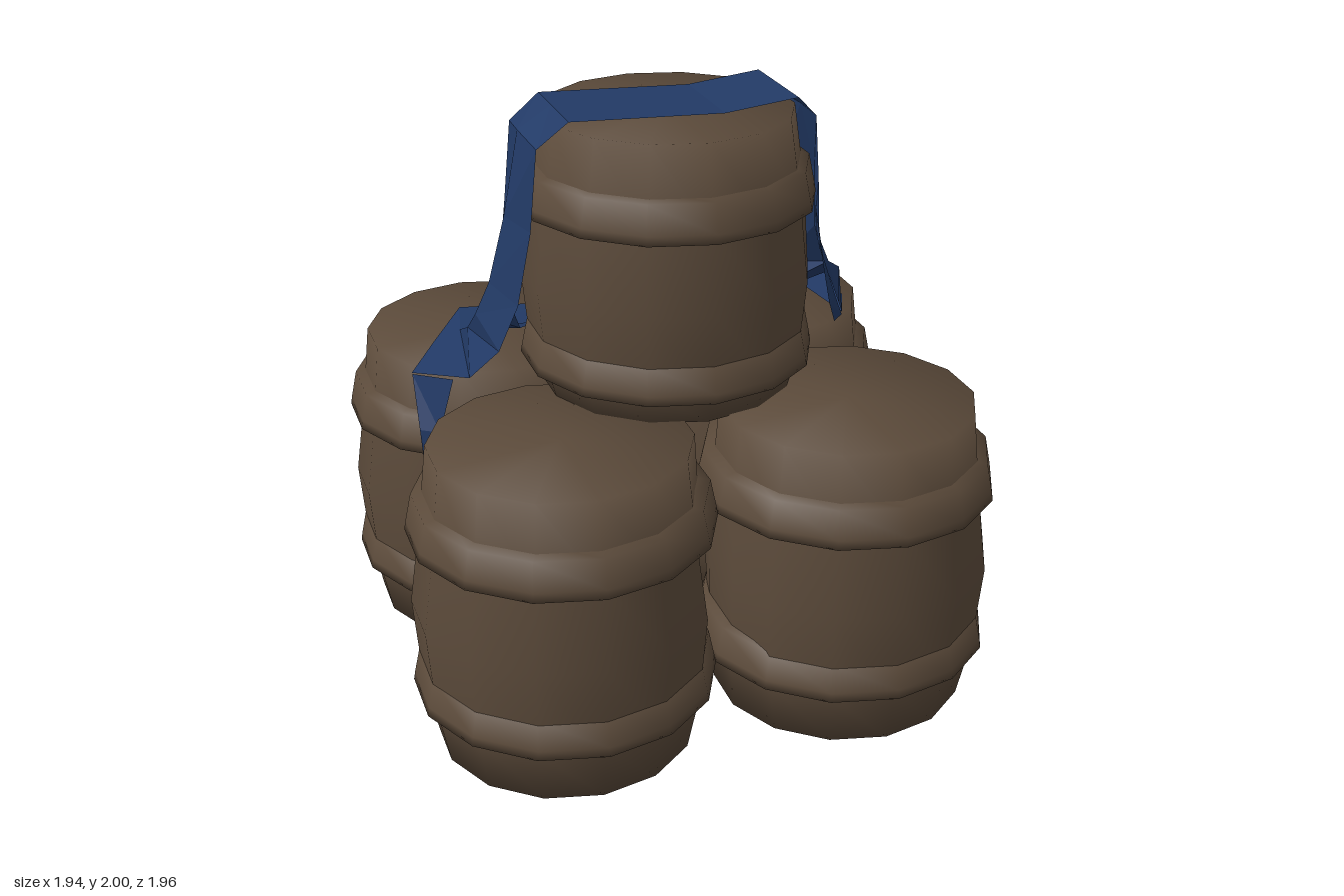
import * as THREE from 'three';

const SIDES = 14;
const wood = new THREE.MeshStandardMaterial({ color: 0x5b4a3a });
wood.name = 'dark brown wood';
const cloth = new THREE.MeshStandardMaterial({ color: 0x223a66, side: THREE.DoubleSide });
cloth.name = 'navy cloth';

const lathe = (profile) =>
  new THREE.LatheGeometry(profile.map(([r, y]) => new THREE.Vector2(r, y)), SIDES);

// Bulging staves; vertices are held inside the limits so facing sides are flat
function bodyGeometry(profile, limits, cx, cz) {
  const geo = lathe(profile);
  const p = geo.attributes.position;
  for (let i = 0; i < p.count; i++) {
    p.setX(i, THREE.MathUtils.clamp(p.getX(i) + cx, limits[0], limits[1]) - cx);
    p.setZ(i, THREE.MathUtils.clamp(p.getZ(i) + cz, limits[2], limits[3]) - cz);
  }
  return geo;
}

// Hoop flared towards its lower edge
const hoopGeometry = (y, r) =>
  lathe([[0.40, y], [r, y], [r - 0.005, y + 0.03], [r - 0.025, y + 0.125], [0.40, y + 0.14]]);

function barrel(name, x, y, z, profile, hoops, hoopRadius, limits) {
  const g = new THREE.Group();
  g.name = name;
  const body = new THREE.Mesh(bodyGeometry(profile, limits, x, z), wood);
  body.name = 'barrelBody';
  g.add(body);
  for (const h of hoops) {
    const hoop = new THREE.Mesh(hoopGeometry(h, hoopRadius), wood);
    hoop.name = 'barrelHoop';
    g.add(hoop);
  }
  g.position.set(x, y, z);
  return g;
}

// Flat-shaded sheet through rows of points
function sheet(name, rows) {
  const pos = [];
  for (let i = 0; i < rows.length - 1; i++) {
    for (let j = 0; j < rows[i].length - 1; j++) {
      const a = rows[i][j], b = rows[i + 1][j], c = rows[i + 1][j + 1], d = rows[i][j + 1];
      pos.push(...a, ...b, ...c, ...a, ...c, ...d);
    }
  }
  const geo = new THREE.BufferGeometry();
  geo.setAttribute('position', new THREE.Float32BufferAttribute(pos, 3));
  geo.computeVertexNormals();
  const mesh = new THREE.Mesh(geo, cloth);
  mesh.name = name;
  return mesh;
}

export function createModel() {
  const model = new THREE.Group();
  model.name = 'barrelStack';

  // Four standing barrels
  const lower = [[0, 0.005], [0.425, 0.005], [0.465, 0.2], [0.49, 0.5], [0.45, 0.78], [0.42, 1.05], [0, 1.05]];
  for (const sx of [-1, 1]) {
    for (const sz of [-1, 1]) {
      const limX = sx > 0 ? [0.055, 1] : [-1, -0.06];
      const limZ = sz > 0 ? [0.015, 1] : [-0.915, -0.05];
      const name = (sz > 0 ? 'front' : 'back') + (sx > 0 ? 'Left' : 'Right') + 'Barrel';
      model.add(barrel(name, sx * 0.485, 0, sz * 0.485, lower, [0.2, 0.76], 0.497, [...limX, ...limZ]));
    }
  }

  // Top barrel
  const upper = [[0, 0], [0.42, 0], [0.455, 0.12], [0.48, 0.38], [0.45, 0.64], [0.41, 0.915], [0, 0.915]];
  model.add(barrel('topBarrel', 0, 1.045, 0.08, upper, [0.09, 0.62], 0.487, [-0.475, 0.455, -0.35, 0.565]));

  // Cloth over the top, falling down both sides and spreading on the back barrels
  const drape = new THREE.Group();
  drape.name = 'drapedCloth';
  drape.add(sheet('clothStrap', [
    [[-0.48, 1.92, 0.27], [-0.49, 1.93, 0.08], [-0.48, 1.92, -0.06]],
    [[-0.38, 2.0, 0.28], [-0.38, 2.0, 0.08], [-0.38, 2.0, -0.07]],
    [[0.13, 1.975, 0.26], [0.13, 1.975, 0.08], [0.13, 1.975, -0.09]],
    [[0.38, 2.0, 0.25], [0.38, 2.0, 0.08], [0.38, 2.0, -0.1]],
    [[0.45, 1.93, 0.23], [0.47, 1.92, 0.05], [0.46, 1.92, -0.11]],
  ]));
  drape.add(sheet('clothLeftFall', [
    [[0.45, 1.93, 0.23], [0.47, 1.92, 0.05], [0.46, 1.92, -0.11]],
    [[0.51, 1.68, 0.13], [0.55, 1.68, 0], [0.5, 1.65, -0.17]],
    [[0.54, 1.42, 0.09], [0.58, 1.45, -0.05], [0.53, 1.4, -0.23]],
    [[0.63, 1.2, 0.07], [0.66, 1.29, -0.1], [0.55, 1.24, -0.27]],
    [[0.72, 1.09, -0.1], [0.77, 1.2, -0.25], [0.44, 1.07, -0.33]],
    [[0.81, 1.07, -0.3], [0.7, 1.065, -0.55], [0.35, 1.065, -0.46]],
  ]));
  drape.add(sheet('clothLeftFlap', [
    [[0.47, 1.63, 0.2], [0.54, 1.47, 0.06]],
    [[0.5, 1.46, 0.19], [0.58, 1.35, 0.04]],
    [[0.58, 1.22, 0.1], [0.64, 1.2, 0.02]],
    [[0.66, 1.09, -0.03], [0.72, 1.08, -0.1]],
  ]));
  drape.add(sheet('clothRightFall', [
    [[-0.48, 1.92, 0.27], [-0.49, 1.93, 0.08], [-0.48, 1.92, -0.06]],
    [[-0.5, 1.65, 0.25], [-0.54, 1.65, 0.07], [-0.5, 1.65, -0.08]],
    [[-0.54, 1.4, 0.22], [-0.59, 1.42, 0.04], [-0.52, 1.4, -0.11]],
    [[-0.6, 1.24, 0.19], [-0.63, 1.3, 0], [-0.47, 1.24, -0.16]],
    [[-0.68, 1.12, 0.1], [-0.63, 1.2, -0.13], [-0.42, 1.12, -0.25]],
    [[-0.83, 1.07, -0.11], [-0.61, 1.1, -0.35], [-0.32, 1.07, -0.4]],
    [[-0.7, 1.065, -0.36], [-0.55, 1.065, -0.63], [-0.2, 1.065, -0.57]],
  ]));
  // Loose end hanging between the barrels
  drape.add(sheet('clothHangingEnd', [
    [[-0.83, 1.07, -0.1], [-0.72, 1.09, 0.03]],
    [[-0.83, 0.9, -0.02], [-0.77, 0.9, 0.02]],
    [[-0.82, 0.7, 0], [-0.8, 0.7, 0]],
  ]));
  model.add(drape);
  return model;
}
